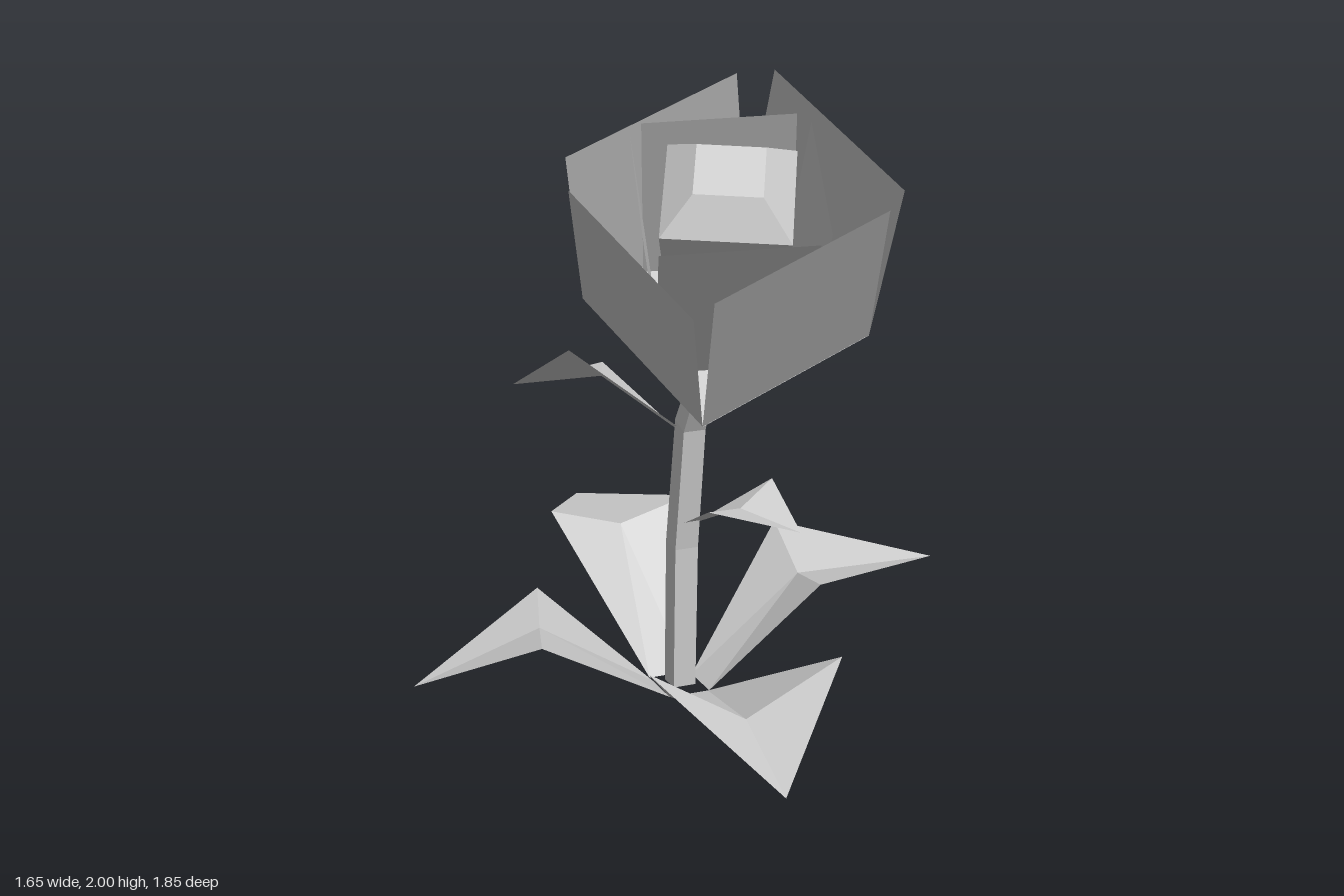
import * as THREE from 'three';

const material = new THREE.MeshStandardMaterial({
  color: 0xcccccc, flatShading: true, side: THREE.DoubleSide,
});

// Flat-shaded mesh from corner points and triangle/quad faces
function facets(name, points, faces) {
  const pos = [];
  for (const f of faces) {
    for (let i = 1; i < f.length - 1; i++) {
      pos.push(...points[f[0]], ...points[f[i]], ...points[f[i + 1]]);
    }
  }
  const geo = new THREE.BufferGeometry();
  geo.setAttribute('position', new THREE.Float32BufferAttribute(pos, 3));
  geo.computeVertexNormals();
  const mesh = new THREE.Mesh(geo, material);
  mesh.name = name;
  return mesh;
}

// Leaf: narrow base, two raised side corners, sunken middle and a tip
function leaf(name, baseA, baseB, cornerA, cornerB, middle, tip) {
  return facets(name, [baseA, baseB, cornerA, cornerB, middle, tip],
    [[0, 4, 2], [0, 1, 4], [1, 3, 4], [2, 4, 5], [4, 3, 5]]);
}

// Square stem swept through [y, z, halfWidth, tilt] sections
function makeStem() {
  const sections = [
    [0, -0.03, 0.037, 0], [0.47, -0.015, 0.038, 0.08],
    [0.88, 0.05, 0.036, 0.32], [1.31, 0.29, 0.022, 0.5],
  ];
  const points = [], faces = [[0, 1, 2, 3]];
  sections.forEach(([y, z, h, tilt], s) => {
    for (const [a, b] of [[-1, -1], [1, -1], [1, 1], [-1, 1]]) {
      points.push([0.022 + a * h, y - b * h * Math.sin(tilt), z + b * h * Math.cos(tilt)]);
    }
    if (s === 0) return;
    for (let i = 0; i < 4; i++) {
      const j = (i + 1) % 4, lo = (s - 1) * 4, hi = s * 4;
      faces.push([lo + i, hi + i, hi + j, lo + j]);
    }
  });
  return facets('stem', points, faces);
}

// Square petal standing at a distance from the flower axis
function petal(name, angle, half, distance, lean, height) {
  const mesh = facets(name, [
    [-half, 0, distance], [half, 0, distance],
    [half, height, distance + lean], [-half, height, distance + lean],
  ], [[0, 1, 2, 3]]);
  mesh.rotation.y = angle;
  return mesh;
}

function makeFlower() {
  const flower = new THREE.Group();
  flower.name = 'flowerHead';

  flower.add(facets('flowerBase',
    [[-0.298, 0, -0.3], [-0.298, 0, 0.3], [0.298, 0, 0.3], [0.298, 0, -0.3]], [[0, 3, 2, 1]]));

  // Outer petals in the order front, left, back, right
  [[0.04, 0.552], [0.083, 0.548], [0.07, 0.525], [0.039, 0.474]].forEach(([lean, height], i) => {
    flower.add(petal('outerPetal', i * Math.PI / 2, 0.299, 0.299, lean, height));
  });

  // Inner petals, turned inside the outer ones
  for (let i = 0; i < 4; i++) {
    flower.add(petal('innerPetal', -Math.PI / 6 + i * Math.PI / 2, 0.222, 0.2, 0.058, 0.553));
  }

  // Closed bud
  const parts = [[0.2, 0.26, 0, 0.51], [0.26, 0.138, 0.51, 0.602]];
  parts.forEach(([bottom, top, y0, y1], i) => {
    const geo = new THREE.CylinderGeometry(top, bottom, y1 - y0, 4, 1, i === 0);
    const bud = new THREE.Mesh(geo, material);
    bud.name = i === 0 ? 'budSides' : 'budTop';
    bud.position.y = (y0 + y1) / 2;
    bud.rotation.y = 0.1;
    flower.add(bud);
  });

  // Tip the head forward and sideways
  const side = new THREE.Vector3(0.943, 0.303, -0.135);
  const front = new THREE.Vector3(0.274, -0.44, 0.855).normalize();
  const up = front.clone().cross(side).normalize();
  side.copy(up).cross(front);
  flower.quaternion.setFromRotationMatrix(new THREE.Matrix4().makeBasis(side, up, front));
  flower.position.set(0.018, 1.29, 0.318);
  return flower;
}

export function createModel() {
  const model = new THREE.Group();
  model.name = 'flower';
  model.add(makeStem(), makeFlower());

  // Ground leaves
  model.add(
    leaf('backLeaf', [-0.06, 0.005, -0.085], [0.07, 0.005, -0.085],
      [-0.24, 0.46, -0.48], [0.24, 0.45, -0.48], [0, 0.385, -0.48], [0.015, 0.345, -0.925]),
    leaf('frontLeaf', [-0.06, 0.005, 0.08], [0.07, 0.005, 0.08],
      [-0.315, 0.3, 0.53], [0.265, 0.3, 0.63], [-0.03, 0.135, 0.595], [-0.035, 0.01, 0.89]),
    leaf('leftLeaf', [0.075, 0.005, 0.08], [0.075, 0.005, -0.06],
      [0.375, 0.375, 0.25], [0.44, 0.415, -0.235], [0.41, 0.325, 0.01], [0.825, 0.36, 0.12]),
    leaf('rightLeaf', [-0.06, 0.005, 0.08], [-0.06, 0.005, -0.06],
      [-0.53, 0.295, 0.22], [-0.38, 0.305, -0.235], [-0.455, 0.265, -0.01], [-0.83, 0.09, -0.115]));

  // Stem leaves
  model.add(
    leaf('upperStemLeaf', [-0.01, 0.87, 0.03], [-0.01, 0.86, 0.0],
      [-0.365, 1.155, 0.035], [-0.14, 1.01, -0.27], [-0.21, 1.02, -0.1], [-0.435, 0.97, -0.275]),
    leaf('lowerStemLeaf', [0.01, 0.55, 0.02], [0.06, 0.54, 0.0],
      [-0.01, 0.67, 0.265], [0.28, 0.685, 0.09], [0.14, 0.63, 0.165], [0.265, 0.59, 0.335]));
  return model;
}
